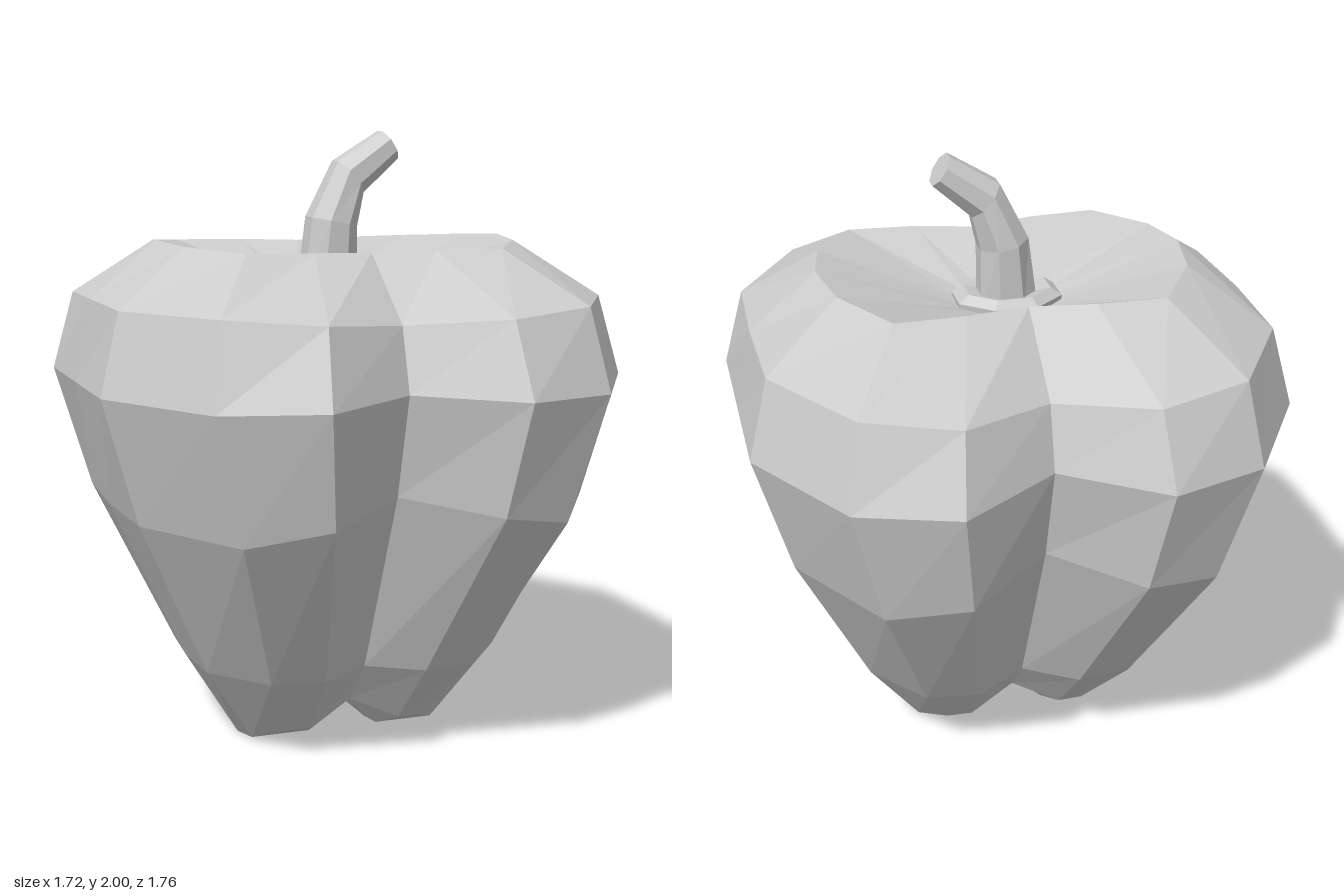
import * as THREE from 'three';

const material = new THREE.MeshStandardMaterial({ color: 0xcccccc, flatShading: true });

// Faceted surface through rows of [x, y, z] points; faces look along (row step) x (column step)
function facetGrid(rows, closed) {
  const out = [];
  const tri = (...p) => {
    const [a, b, c] = p.map((v) => new THREE.Vector3(...v));
    if (b.sub(a).cross(c.sub(a)).length() > 1e-7) p.forEach((v) => out.push(...v));
  };
  for (let i = 0; i + 1 < rows.length; i++) {
    const n = rows[i].length;
    for (let j = 0; j < (closed ? n : n - 1); j++) {
      const k = (j + 1) % n;
      const [a, b, c, d] = [rows[i][j], rows[i + 1][j], rows[i + 1][k], rows[i][k]];
      tri(a, b, d);
      tri(b, c, d);
    }
  }
  const geometry = new THREE.BufferGeometry();
  geometry.setAttribute('position', new THREE.Float32BufferAttribute(out, 3));
  geometry.computeVertexNormals();
  return geometry;
}

function addMesh(group, name, geometry) {
  const mesh = new THREE.Mesh(geometry, material);
  mesh.name = name;
  group.add(mesh);
}

// Five points from the side (+x) to the front crease (x = 0), mirrored into a 16-sided ring
function mirrorRing(q) {
  const half = [...q, ...q.slice(0, 4).reverse().map(([x, y, z]) => [-x, y, z])];
  return [...half, ...half.slice(1, 8).reverse().map(([x, y, z]) => [x, y, -z])];
}

// Level ring of n points around (cx, y)
function ellipseRing(n, cx, y, rx, rz, offset = 0) {
  return Array.from({ length: n }, (_, i) => {
    const t = (i / n) * Math.PI * 2 + offset;
    return [cx + rx * Math.cos(t), y, rz * Math.sin(t)];
  });
}

export function createModel() {
  const group = new THREE.Group();
  group.name = 'pepper';

  // Two-lobed body, quarter profiles from the feet up to the rim
  const quarters = [
    [[0.34, 0.005, 0], [0.32, 0.015, 0.1], [0.24, 0.065, 0.21], [0.155, 0.07, 0.22], [0, 0.135, 0.17]],
    [[0.515, 0.29, 0], [0.5, 0.29, 0.21], [0.345, 0.29, 0.4], [0.17, 0.29, 0.42], [0, 0.29, 0.31]],
    [[0.76, 0.82, 0], [0.745, 0.82, 0.35], [0.52, 0.81, 0.7], [0.27, 0.86, 0.79], [0, 0.905, 0.59]],
    [[0.86, 1.22, 0], [0.86, 1.22, 0.38], [0.62, 1.215, 0.77], [0.31, 1.22, 0.88], [0, 1.23, 0.68]],
    [[0.805, 1.48, 0], [0.795, 1.475, 0.35], [0.58, 1.475, 0.7], [0.29, 1.455, 0.785], [0, 1.43, 0.62]],
    [[0.59, 1.66, 0], [0.555, 1.65, 0.2], [0.42, 1.637, 0.41], [0.2, 1.635, 0.4], [0, 1.63, 0.36]],
  ];
  const rings = quarters.map(mirrorRing);
  addMesh(group, 'body', facetGrid(rings, true));

  // Sunken top around the stem
  const rim = rings[rings.length - 1];
  const dish = [rim, ellipseRing(16, -0.02, 1.51, 0.16, 0.13), ellipseRing(16, -0.02, 1.5, 0, 0)];
  addMesh(group, 'topHollow', facetGrid(dish, true));

  // Underside: two rounded feet with a groove between them
  const [side, shoulder, corner, toe, crease] = quarters[0];
  const across = (outer, inner, mid, s) =>
    [outer, inner, mid, [-inner[0], inner[1], inner[2]], [-outer[0], outer[1], outer[2]]]
      .map(([x, y, z]) => [x, y, z * s]);
  const end = [corner, toe, crease];
  const between = [shoulder, [0.12, 0.015, 0.1], [0, 0.12, 0.09]];
  const middle = [side, [0.115, 0.005, 0], [0, 0.11, 0]];
  addMesh(group, 'underside', facetGrid([
    across(...end, -1), across(...between, -1), across(...middle, 1), across(...between, 1), across(...end, 1),
  ], false));

  // Bevelled collar at the foot of the stem
  const turn = Math.PI / 8;
  addMesh(group, 'stemCollar', facetGrid([
    ellipseRing(8, -0.02, 1.49, 0.175, 0.145, turn),
    ellipseRing(8, -0.02, 1.53, 0.182, 0.15, turn),
    ellipseRing(8, -0.02, 1.555, 0.145, 0.125, turn),
    ellipseRing(8, -0.02, 1.54, 0.08, 0.08, turn),
  ], true));

  // Bent eight-sided stem: [centre x, centre y, half width, half depth, tilt]
  const stations = [
    [-0.02, 1.5, 0, 0, 0],
    [-0.02, 1.5, 0.092, 0.085, 0],
    [-0.005, 1.71, 0.078, 0.092, -0.2],
    [0.053, 1.855, 0.067, 0.075, -0.85],
    [0.192, 1.957, 0.052, 0.06, -1.0],
    [0.192, 1.957, 0, 0, 0],
  ];
  const stem = stations.map(([cx, cy, w, d, tilt]) =>
    ellipseRing(8, 0, 0, w / Math.cos(turn), d / Math.cos(turn), turn)
      .map(([x, , z]) => [cx + x * Math.cos(tilt), cy + x * Math.sin(tilt), z]));
  addMesh(group, 'stem', facetGrid(stem, true));

  return group;
}
